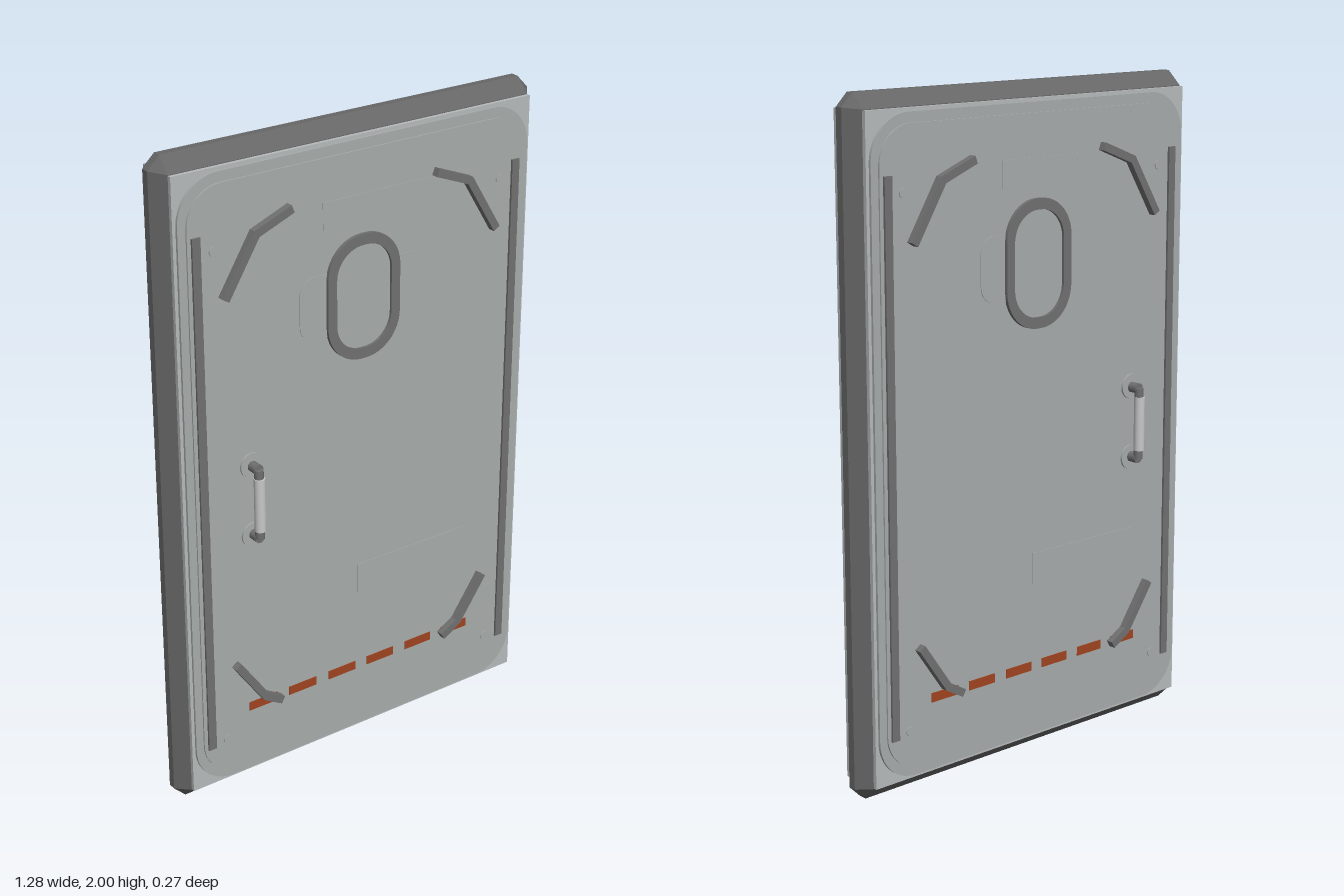
import * as THREE from 'three';
import { ConvexGeometry } from 'three/addons/geometries/ConvexGeometry.js';

const mat = (name, color) => new THREE.MeshStandardMaterial({ name, color });

export function createModel() {
  const door = new THREE.Group();
  door.name = 'door';
  const frameGrey = mat('frame grey', 0x666666);
  const panelGrey = mat('panel grey', 0xa6abaa);
  const edgeGrey = mat('edge grey', 0xb6baba);
  const trimGrey = mat('trim grey', 0x707070);
  const gripGrey = mat('grip light grey', 0xc8c8c8);
  const rust = mat('rust orange', 0xa0431f);

  const add = (parent, name, geo, material, x = 0, y = 0, z = 0) => {
    const m = new THREE.Mesh(geo, material);
    m.name = name;
    m.position.set(x, y, z);
    parent.add(m);
    return m;
  };
  const box = (w, h, d) => new THREE.BoxGeometry(w, h, d);

  // Rounded rectangle centred on the origin
  const rounded = (w, h, r, Type = THREE.Shape) => {
    const s = new Type(), a = w / 2 - r, b = h / 2 - r;
    s.absarc(a, b, r, 0, Math.PI / 2);
    s.absarc(-a, b, r, Math.PI / 2, Math.PI);
    s.absarc(-a, -b, r, Math.PI, Math.PI * 1.5);
    s.absarc(a, -b, r, Math.PI * 1.5, Math.PI * 2);
    s.closePath();
    return s;
  };
  const slab = (shape, depth) =>
    new THREE.ExtrudeGeometry(shape, { depth, bevelEnabled: false, curveSegments: 10 });

  // Chamfered outer frame
  const pts = [];
  for (const sx of [-1, 1]) for (const sy of [-1, 1]) for (const sz of [-1, 1]) {
    pts.push(
      new THREE.Vector3(sx * 0.64, sy * 0.962, sz * 0.012),
      new THREE.Vector3(sx * 0.602, sy, sz * 0.012),
      new THREE.Vector3(sx * 0.605, sy * 0.957, sz * 0.055));
  }
  add(door, 'frame', new ConvexGeometry(pts), frameGrey, 0, 1, 0);
  add(door, 'core plate', box(1.21, 1.91, 0.134), edgeGrey, 0, 1, 0);

  // Bent bar following a polyline, with mitred corner
  const bentBar = (points, width, depth) => {
    const p = points.map(([x, y]) => new THREE.Vector2(x, y));
    const left = [], right = [];
    p.forEach((q, i) => {
      const dirs = [];
      if (i > 0) dirs.push(q.clone().sub(p[i - 1]).normalize());
      if (i < p.length - 1) dirs.push(p[i + 1].clone().sub(q).normalize());
      const t = dirs.reduce((a, d) => a.add(d), new THREE.Vector2()).normalize();
      const k = width / 2 / t.dot(dirs[0]);
      const n = new THREE.Vector2(-t.y, t.x).multiplyScalar(k);
      left.push(q.clone().add(n));
      right.unshift(q.clone().sub(n));
    });
    return slab(new THREE.Shape([...left, ...right]), depth);
  };

  // One face of the door; the other is the same turned half round
  const buildSide = (name, handleX) => {
    const g = new THREE.Group();
    g.name = name;
    add(g, 'outer panel', slab(rounded(1.19, 1.89, 0.13), 0.015), panelGrey, 0, 1, 0.06);
    add(g, 'inner panel', slab(rounded(1.14, 1.83, 0.11), 0.012), panelGrey, 0, 1, 0.068);

    // Window with side tabs
    add(g, 'window tabs', slab(rounded(0.43, 0.19, 0.05), 0.004), panelGrey, 0, 1.487, 0.078);
    const ring = rounded(0.25, 0.375, 0.118);
    ring.holes.push(rounded(0.19, 0.31, 0.088, THREE.Path));
    add(g, 'window ring', slab(ring, 0.014), trimGrey, 0, 1.487, 0.077);
    add(g, 'window pane', slab(rounded(0.2, 0.32, 0.09), 0.005), panelGrey, 0, 1.487, 0.078);

    // Blank label plates
    add(g, 'upper label plate', box(0.37, 0.08, 0.004), panelGrey, 0.05, 1.75, 0.08);
    add(g, 'lower label plate', box(0.415, 0.095, 0.004), panelGrey, 0.192, 0.578, 0.08);

    // Rails, corner brackets and screws, mirrored left and right
    for (const s of [-1, 1]) {
      add(g, 'side rail', box(0.026, 1.6, 0.018), trimGrey, s * 0.545, 0.98, 0.078);
      const flip = ([x, y]) => [s * x, y];
      add(g, 'upper bracket', bentBar(
        [[0.468, 1.59], [0.365, 1.757], [0.247, 1.803]].map(flip), 0.024, 0.024), trimGrey, 0, 0, 0.078);
      add(g, 'lower bracket', bentBar(
        [[0.458, 0.44], [0.362, 0.302], [0.303, 0.268]].map(flip), 0.024, 0.024), trimGrey, 0, 0, 0.078);
      for (const y of [0.195, 1.73]) {
        add(g, 'screw', new THREE.CylinderGeometry(0.014, 0.014, 0.008, 12), panelGrey, s * 0.49, y, 0.079)
          .rotation.x = Math.PI / 2;
      }
    }

    // Dashed warning stripe
    for (const x of [0.072, 0.218, 0.36]) for (const s of [-1, 1]) {
      add(g, 'stripe dash', box(0.1, 0.028, 0.004), rust, s * x, 0.275, 0.08);
    }

    // Pull handle
    const handle = new THREE.Group();
    handle.name = 'handle';
    handle.position.set(handleX, 0.96, 0);
    for (const s of [-1, 1]) {
      add(handle, 'handle base', new THREE.CylinderGeometry(0.038, 0.038, 0.008, 20), panelGrey, 0, s * 0.11, 0.082)
        .rotation.x = Math.PI / 2;
      add(handle, 'handle post', new THREE.CylinderGeometry(0.016, 0.016, 0.04, 12), trimGrey, 0, s * 0.108, 0.098)
        .rotation.x = Math.PI / 2;
      add(handle, 'handle elbow', new THREE.CylinderGeometry(0.014, 0.014, 0.035, 12), trimGrey, 0, s * 0.092, 0.117);
    }
    add(handle, 'handle grip', new THREE.CylinderGeometry(0.0165, 0.0165, 0.165, 14), gripGrey, 0, 0, 0.12);
    g.add(handle);
    door.add(g);
    return g;
  };

  buildSide('front side', -0.385);
  buildSide('back side', 0.385).rotation.y = Math.PI;
  return door;
}
